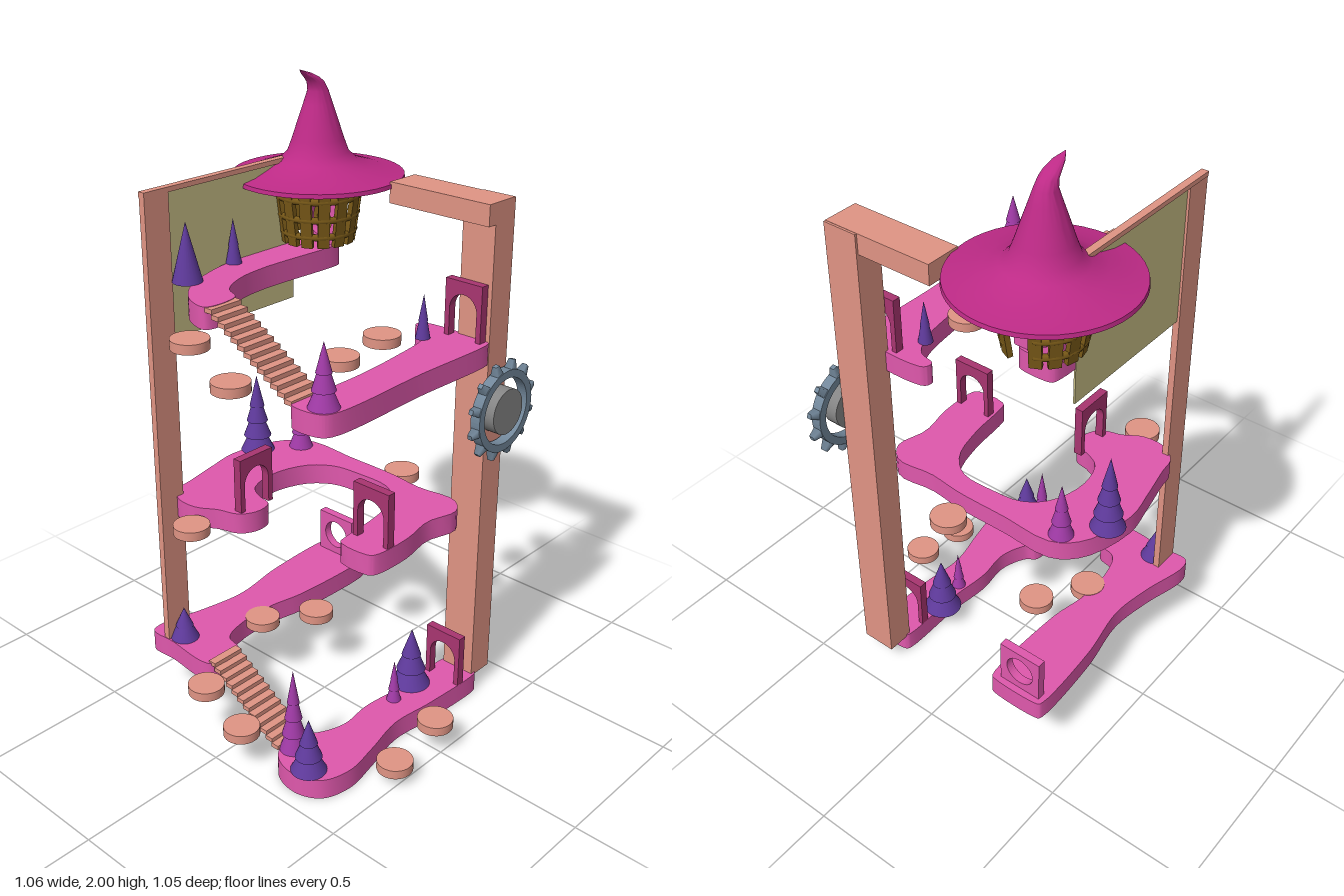
import * as THREE from 'three';
import { toCreasedNormals } from 'three/addons/utils/BufferGeometryUtils.js';

const paint = (color, side = THREE.FrontSide) => new THREE.MeshStandardMaterial({ color, side });
const PINK = paint(0xdf58ac), SALMON = paint(0xe09484), MAROON = paint(0xa83570);
const HAT = paint(0xbd2a86, THREE.DoubleSide), WOOD = paint(0x7a5a18), KHAKI = paint(0xc8be86, THREE.DoubleSide);
const PURPLE = paint(0x5f3a9c), MAGENTA = paint(0xa03aa6), STEEL = paint(0x72879a), GREY = paint(0x858585);

export function createModel() {
  const model = new THREE.Group();

  const add = (name, geometry, material, x = 0, y = 0, z = 0, parent = model) => {
    const mesh = new THREE.Mesh(geometry, material);
    mesh.name = name;
    mesh.position.set(x, y, z);
    parent.add(mesh);
    return mesh;
  };
  // Box given by its minimum and maximum corners
  const block = (name, mat, x0, x1, y0, y1, z0, z1) =>
    add(name, new THREE.BoxGeometry(x1 - x0, y1 - y0, z1 - z0), mat, (x0 + x1) / 2, (y0 + y1) / 2, (z0 + z1) / 2);

  // Curved platforms: smooth closed outlines in x, z
  const platform = (name, y, outline) => {
    const curve = new THREE.CatmullRomCurve3(outline.map(([x, z]) => new THREE.Vector3(x, -z, 0)), true, 'centripetal');
    const shape = new THREE.Shape(curve.getPoints(110).slice(0, -1).map(p => new THREE.Vector2(p.x, p.y)));
    const geo = new THREE.ExtrudeGeometry(shape, { depth: 0.068, bevelEnabled: false });
    geo.rotateX(-Math.PI / 2);
    add(name, toCreasedNormals(geo, 0.6), PINK, 0, y, 0);
  };
  platform('groundPlatform', 0, [[.17, .29], [.18, .4], [.23, .44], [.31, .447], [.375, .41], [.403, .32], [.385, .2],
    [.355, .05], [.37, -.1], [.378, -.33], [.37, -.34], [.26, -.34], [.25, -.33], [.245, -.1], [.23, .05], [.24, .17], [.205, .26]]);
  platform('lowPlatform', 0.18, [[-.402, .36], [-.39, .402], [-.3, .403], [-.115, .402], [-.112, .285], [-.18, .26], [-.21, .18],
    [-.215, .05], [-.19, -.1], [-.19, -.41], [-.2, -.417], [-.37, -.417], [-.38, -.41], [-.375, -.15], [-.345, .05], [-.365, .2]]);
  platform('middlePlatform', 0.68, [[-.408, 0], [-.39, .12], [-.365, .24], [-.355, .3], [-.3, .345], [-.22, .345], [-.16, .31],
    [-.09, .285], [-.062, .23], [-.075, .175], [-.13, .16], [-.18, .13], [-.205, .03], [-.17, -.09], [-.1, -.15], [0, -.165],
    [.12, -.16], [.19, -.1], [.225, .02], [.24, .17], [.25, .2], [.36, .2], [.375, .18], [.38, .05], [.36, -.07],
    [.382, -.18], [.33, -.235], [.2, -.225], [.08, -.237], [-.1, -.237], [-.28, -.237], [-.36, -.17]]);
  platform('upperRightPlatform', 1.19, [[.25, .4], [.35, .4], [.375, .37], [.375, 0], [.375, -.31], [.365, -.32], [.12, -.32],
    [.112, -.29], [.17, -.27], [.21, -.2], [.235, -.05], [.25, .12], [.25, .29]]);
  platform('topPlatform', 1.383, [[-.08, .285], [-.08, .4], [-.16, .385], [-.24, .31], [-.29, .2], [-.32, .07], [-.32, -.28],
    [-.31, -.29], [-.21, -.29], [-.2, -.28], [-.205, .05], [-.185, .17], [-.14, .25]]);

  // Stairs joining the platforms
  const stairs = (name, x0, y0, x1, y1, n) => {
    for (let i = 0; i < n; i++) {
      const t = (i + 0.5) / n;
      add(name, new THREE.BoxGeometry((x1 - x0) / n * 1.12, 0.014, 0.115), SALMON,
        x0 + (x1 - x0) * t, y0 + (y1 - y0) * t, 0.343);
    }
  };
  stairs('upperStair', -0.08, 1.45, 0.25, 1.25, 13);
  stairs('lowerStair', -0.125, 0.255, 0.175, 0.065, 12);

  // Frame: wide post and beam at the back, thin pole and rail with a hanging cloth
  block('post', SALMON, .255, .372, .06, 1.685, -.412, -.32);
  block('beam', SALMON, 0, .372, 1.62, 1.686, -.405, -.288);
  block('pole', SALMON, -.337, -.315, .24, 1.73, .312, .402);
  block('rail', SALMON, -.339, -.315, 1.715, 1.73, -.31, .402);
  block('cloth', KHAKI, -.329, -.323, 1.265, 1.72, -.2, .315);

  // Doorways: a plate with an arched or a round opening
  const doorway = (name, round, x, y, z, turn = 0) => {
    const w = round ? 0.15 : 0.135, h = round ? 0.15 : 0.18, r = 0.05;
    const shape = new THREE.Shape();
    const hole = new THREE.Path();
    if (round) {
      shape.moveTo(-w / 2, 0).lineTo(w / 2, 0).lineTo(w / 2, h).lineTo(-w / 2, h);
      hole.absarc(0, h / 2, r, 0, Math.PI * 2, true);
      shape.holes.push(hole);
    } else {
      shape.moveTo(-w / 2, 0).lineTo(-r, 0).lineTo(-r, 0.09).absarc(0, 0.09, r, Math.PI, 0, true);
      shape.lineTo(r, 0).lineTo(w / 2, 0).lineTo(w / 2, h).lineTo(-w / 2, h);
    }
    const geo = new THREE.ExtrudeGeometry(shape, { depth: 0.028, bevelEnabled: false, curveSegments: 20 });
    geo.translate(0, 0, -0.014);
    add(name, geo, round ? PINK : MAROON, x, y, z).rotation.y = turn;
  };
  doorway('groundArch', false, .312, .068, -.25);
  doorway('middleRightArch', false, .312, .745, .125);
  doorway('middleLeftArch', false, -.102, .745, .21, Math.PI / 2);
  doorway('upperArch', false, .292, 1.257, -.303);
  doorway('lowPortal', true, -.29, .248, -.385);
  doorway('topPortal', true, -.26, 1.45, -.27);

  // Round stepping discs
  const discGeo = toCreasedNormals(new THREE.CylinderGeometry(0.057, 0.057, 0.03, 32), 0.6);
  for (const [x, y, z] of [[-.075, 1.365, .465], [.08, 1.28, .46], [.18, 1.285, .13], [.157, 1.285, -.08], [-.18, .712, .4],
    [.05, .712, -.32], [-.07, .215, .465], [.08, .13, .46], [-.19, .235, .1], [-.09, .235, -.055], [.465, .097, -.01], [.47, .054, .19]])
    add('steppingDisc', discGeo, SALMON, x, y, z);

  // Trees: stacked cones, fewer tiers for small ones
  const tree = (x, y, z, r, h, tiers, mat) => {
    const group = new THREE.Group();
    group.name = 'tree';
    group.position.set(x, y, z);
    model.add(group);
    for (let i = 0; i < tiers; i++) {
      const t = i / tiers, base = h * t * 0.8;
      const last = i === tiers - 1;
      const top = last ? h : base + h * 0.8 / tiers;
      const r0 = r * (1 - t * 0.75);
      add('foliage', new THREE.CylinderGeometry(last ? 0 : r0 * 0.55, r0, top - base, 24), mat, 0, (base + top) / 2, 0, group);
    }
  };
  tree(-.28, 1.45, .285, .046, .18, 1, PURPLE);
  tree(-.305, 1.45, .075, .025, .14, 2, PURPLE);
  tree(.328, 1.257, .355, .046, .19, 3, MAGENTA);
  tree(.2, 1.257, -.218, .023, .14, 2, PURPLE);
  tree(.243, 1.257, .267, .026, .12, 3, MAGENTA);
  tree(-.375, .747, -.075, .056, .265, 4, PURPLE);
  tree(-.285, .747, -.19, .04, .19, 3, MAGENTA);
  tree(-.29, .248, .355, .046, .11, 2, PURPLE);
  tree(.307, .068, .4, .056, .18, 3, PURPLE);
  tree(.205, .068, .36, .044, .285, 4, MAGENTA);
  tree(.25, .068, -.15, .064, .205, 3, PURPLE);
  tree(.27, .068, -.04, .024, .145, 3, MAGENTA);

  // Basket hut: staves and hoops flaring upwards
  const hut = new THREE.Group();
  hut.name = 'hut';
  hut.position.set(-.26, 1.45, -.25);
  model.add(hut);
  const staves = 14, stave = new THREE.BoxGeometry(0.036, 0.2, 0.016);
  for (let i = 0; i < staves; i++) {
    const a = i / staves * Math.PI * 2;
    if (Math.cos(a) < -0.93) continue;
    const pivot = new THREE.Group();
    pivot.name = 'staveHolder';
    pivot.rotation.y = a;
    hut.add(pivot);
    add('stave', stave, WOOD, 0, 0.115, 0.122, pivot).rotation.x = 0.14;
  }
  for (const [y, r] of [[.05, .113], [.105, .121], [.165, .129]])
    add('hoop', new THREE.TorusGeometry(r, 0.011, 6, 40, Math.PI * 1.74), WOOD, 0, y, 0, hut)
      .rotation.set(Math.PI / 2, 0, Math.PI * -0.37);

  // Pointed hat roof with its tip bent forward
  const profile = [[0, 1.655], [.1, 1.64], [.2, 1.65], [.27, 1.665], [.268, 1.678], [.22, 1.685], [.165, 1.702], [.12, 1.72],
    [.095, 1.745], [.08, 1.785], [.062, 1.84], [.045, 1.89], [.032, 1.93], [.027, 1.955], [.024, 1.97], [.017, 1.985], [0, 2]];
  const hat = new THREE.LatheGeometry(profile.map(([r, y]) => new THREE.Vector2(r, y)), 48);
  const pos = hat.attributes.position;
  for (let i = 0; i < pos.count; i++) {
    const t = Math.max(0, (pos.getY(i) - 1.93) / 0.07);
    pos.setZ(i, pos.getZ(i) + 0.08 * t * t);
  }
  hat.computeVertexNormals();
  add('hatRoof', toCreasedNormals(hat, 0.9), HAT, -.26, 0, -.25);

  // Gear wheel on the outside of the post
  const gear = new THREE.Group();
  gear.name = 'gear';
  gear.position.set(.395, 1.03, -.37);
  gear.rotation.y = Math.PI / 2;
  model.add(gear);
  const rim = new THREE.Shape().absarc(0, 0, 0.133, 0, Math.PI * 2);
  rim.holes.push(new THREE.Path().absarc(0, 0, 0.108, 0, Math.PI * 2, true));
  const rimGeo = new THREE.ExtrudeGeometry(rim, { depth: 0.034, bevelEnabled: false, curveSegments: 36 });
  add('gearRim', rimGeo, STEEL, 0, 0, -0.017, gear);
  for (let i = 0; i < 12; i++) {
    const a = (i + 0.5) / 12 * Math.PI * 2;
    const tooth = new THREE.CylinderGeometry(0.011, 0.021, 0.034, 4, 1).rotateY(Math.PI / 4);
    add('gearTooth', tooth, STEEL, Math.sin(a) * 0.145, Math.cos(a) * 0.145, 0, gear).rotation.z = -a;
  }
  const hub = new THREE.CylinderGeometry(0.074, 0.074, 0.05, 36).rotateX(Math.PI / 2);
  add('gearHub', toCreasedNormals(hub, 0.6), GREY, 0, 0, 0, gear);

  return model;
}
